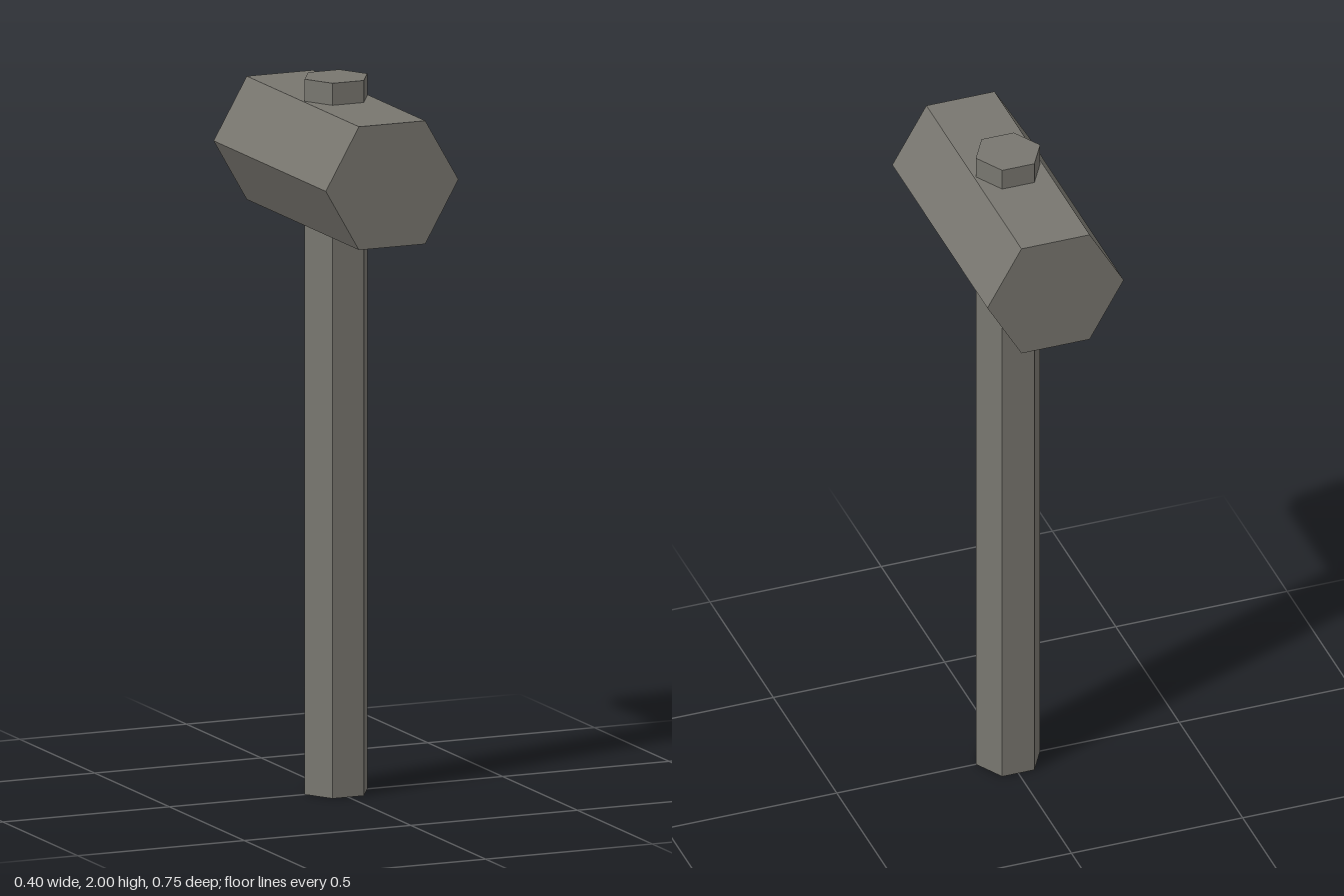
import * as THREE from 'three';

export function createModel() {
  const model = new THREE.Group();
  model.name = 'hammer';

  const stone = new THREE.MeshStandardMaterial({ color: 0x78766f, flatShading: true });
  stone.name = 'warm grey';

  // Six-sided bar along y, with corners pointing to +x and -x
  const hexBar = (radius, length) =>
    new THREE.CylinderGeometry(radius, radius, length, 6, 1, false, Math.PI / 2);

  // Handle runs through the head and stands out a little on top
  const handle = new THREE.Mesh(hexBar(0.094, 2), stone);
  handle.name = 'handle';
  handle.position.y = 1;

  // Head lies along z, with flat faces on top and underneath
  const head = new THREE.Mesh(hexBar(0.199, 0.75).rotateX(Math.PI / 2), stone);
  head.name = 'head';
  head.position.y = 1.766;

  model.add(handle, head);
  return model;
}
